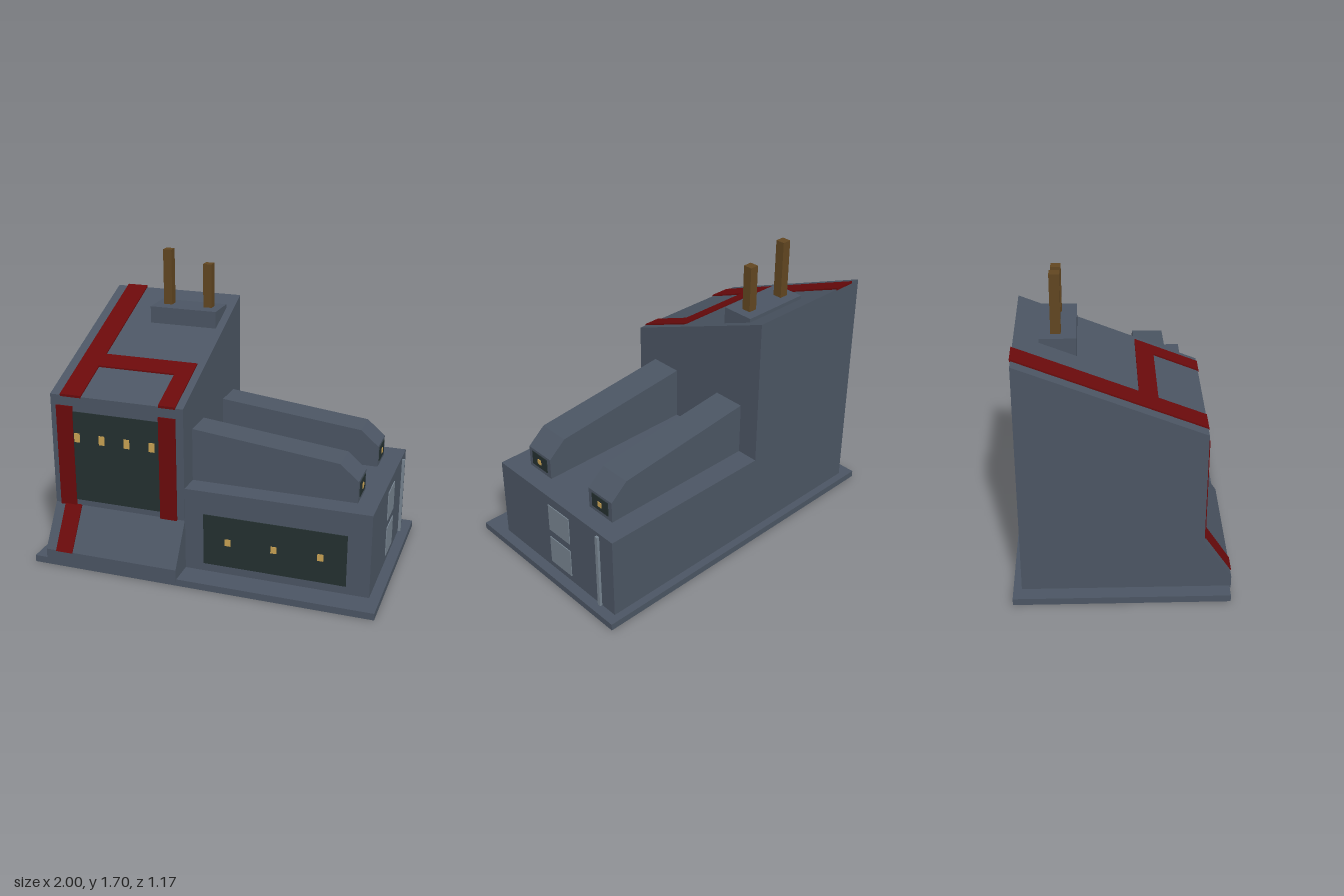
import * as THREE from 'three';

function mat(name, color) {
  const m = new THREE.MeshStandardMaterial({ color });
  m.name = name;
  return m;
}

export function createModel() {
  const slate = mat('slate wall', 0x4b5563);
  const red = mat('dark red trim', 0x6a0a0b);
  const glass = mat('dark glass', 0x243030);
  const gold = mat('warm light', 0xc9a253);
  const brown = mat('brown chimney', 0x614621);
  const pale = mat('pale panel', 0x76838f);

  const model = new THREE.Group();
  model.name = 'factory';

  function add(name, geometry, material) {
    const mesh = new THREE.Mesh(geometry, material);
    mesh.name = name;
    model.add(mesh);
    return mesh;
  }
  // Box given by its limits on each axis
  function box(name, material, [x0, x1], [y0, y1], [z0, z1]) {
    const g = new THREE.BoxGeometry(x1 - x0, y1 - y0, z1 - z0);
    g.translate((x0 + x1) / 2, (y0 + y1) / 2, (z0 + z1) / 2);
    return add(name, g, material);
  }
  const extrude = (points, depth) => new THREE.ExtrudeGeometry(
    new THREE.Shape(points.map(([a, b]) => new THREE.Vector2(a, b))),
    { depth, bevelEnabled: false });
  // Prism along x from a (z, y) profile
  function prismX(name, material, points, x0, x1) {
    const g = extrude(points, x1 - x0);
    g.rotateY(-Math.PI / 2).translate(x1, 0, 0);
    return add(name, g, material);
  }
  // Prism along z from an (x, y) profile
  function prismZ(name, material, points, z0, z1) {
    return add(name, extrude(points, z1 - z0).translate(0, 0, z0), material);
  }

  const back = -0.54, front = 0.43;
  const roofY = z => 1.0 + 0.4 * (front - z) / (front - back);

  // Ground plate and main volumes
  box('basePlate', slate, [-1, 1], [0, 0.04], [-0.585, 0.575]);
  prismX('tower', slate,
    [[back, 0.03], [front, 0.03], [front, roofY(front)], [back, roofY(back)]], -0.92, -0.12);
  prismX('frontRamp', slate,
    [[front, 0.025], [0.583, 0.025], [0.583, 0.1], [front, 0.335]], -0.92, -0.12);
  box('lowHall', slate, [-0.12, 0.94], [0.03, 0.53], [back, 0.425]);

  // Sloping roof ducts, each with a small end window
  for (const z of [0.203, -0.318]) {
    prismZ('roofDuct', slate,
      [[-0.13, 0.52], [0.83, 0.52], [0.83, 0.655], [0.725, 0.745], [-0.13, 0.84]],
      z - 0.094, z + 0.094);
    box('ductWindow', glass, [0.829, 0.834], [0.555, 0.64], [z - 0.065, z + 0.065]);
    box('ductLight', gold, [0.833, 0.838], [0.582, 0.612], [z - 0.014, z + 0.014]);
  }

  // Chimney block and stacks
  box('chimneyBlock', slate, [-0.575, -0.165], [1.2, 1.37], [-0.415, -0.225]);
  for (const [x, top] of [[-0.495, 1.7], [-0.245, 1.63]]) {
    box('chimney', brown, [x - 0.026, x + 0.026], [1.36, top], [-0.358, -0.305]);
  }

  // Red trim lying on the sloping roof
  const t = 0.009;
  function roofTrim(x0, x1, z0, z1) {
    prismX('roofTrim', red,
      [[z0, roofY(z0) - 0.005], [z1, roofY(z1) - 0.005], [z1, roofY(z1) + t], [z0, roofY(z0) + t]], x0, x1);
  }
  roofTrim(-0.858, -0.73, -0.545, 0.433);
  roofTrim(-0.73, -0.165, 0.085, 0.185);
  roofTrim(-0.265, -0.165, 0.185, 0.433);

  // Red trim on the tower front and ramp
  for (const x of [-0.885, -0.265]) {
    box('frontTrim', red, [x, x + 0.1], [0.33, 0.94], [front, 0.439]);
  }
  prismX('rampTrim', red,
    [[front, 0.33], [0.583, 0.095], [0.589, 0.098], [0.436, 0.341]], -0.858, -0.755);

  // Tower window with its lights
  box('towerWindow', glass, [-0.785, -0.265], [0.37, 0.91], [front, 0.434]);
  for (const x of [-0.763, -0.611, -0.459, -0.307]) {
    box('towerLight', gold, [x - 0.017, x + 0.017], [0.728, 0.782], [0.433, 0.438]);
  }

  // Hall window with its lights
  box('hallWindow', glass, [-0.01, 0.81], [0.088, 0.392], [0.425, 0.43]);
  for (const x of [0.135, 0.4, 0.665]) {
    box('hallLight', gold, [x - 0.017, x + 0.017], [0.22, 0.26], [0.429, 0.434]);
  }

  // Side panels and vertical pipe
  for (const [y0, y1] of [[0.305, 0.475], [0.08, 0.255]]) {
    box('sidePanel', pale, [0.94, 0.945], [y0, y1], [-0.18, -0.003]);
  }
  box('sidePipe', pale, [0.94, 0.955], [0.04, 0.51], [-0.436, -0.416]);

  return model;
}
